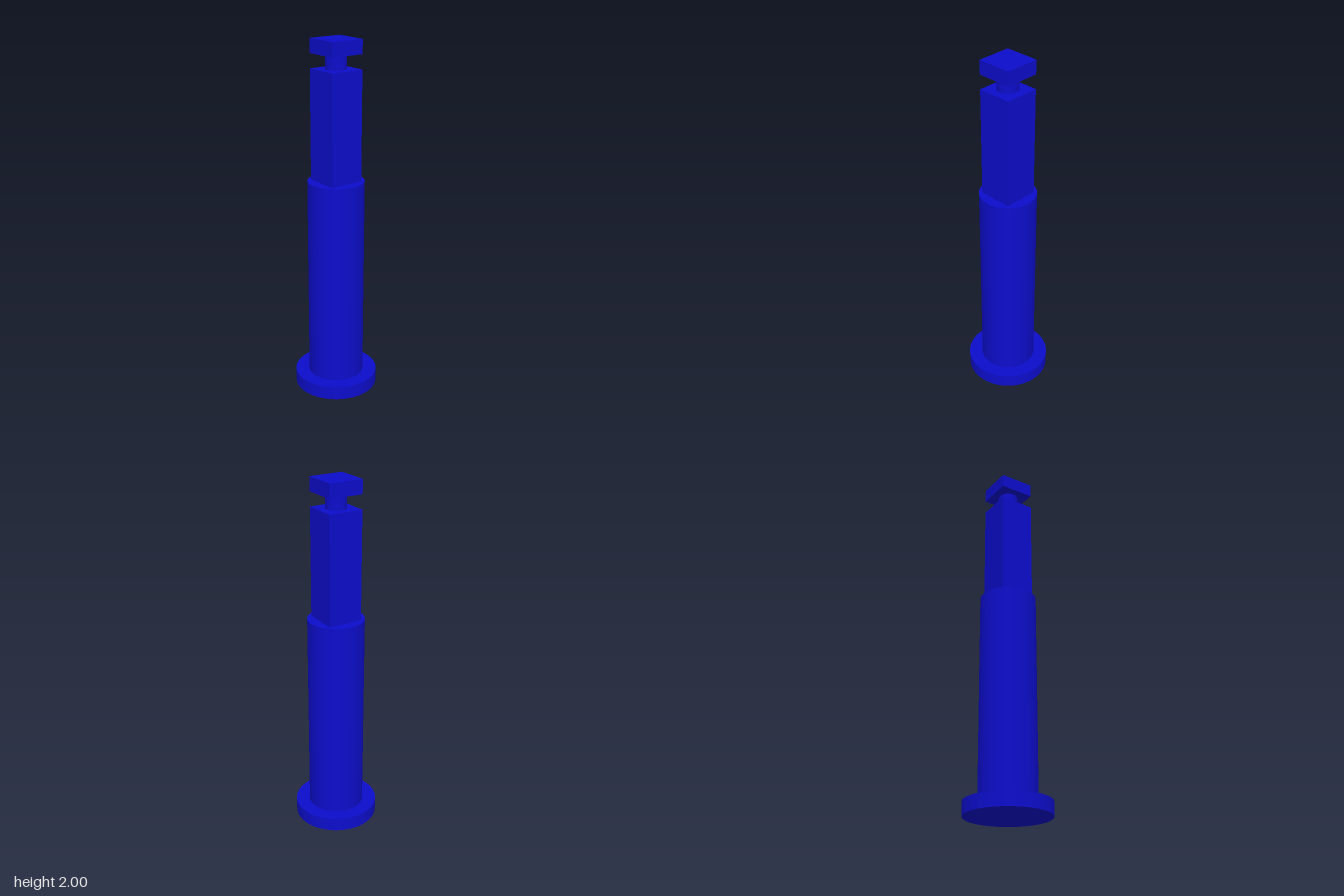
import * as THREE from 'three';

export function createModel() {
  const model = new THREE.Group();
  model.name = 'pin';
  const material = new THREE.MeshStandardMaterial({ color: 0x0d0dcc });

  const add = (name, geometry, bottom, top) => {
    const mesh = new THREE.Mesh(geometry, material);
    mesh.name = name;
    mesh.position.y = (bottom + top) / 2;
    model.add(mesh);
  };
  const round = (name, radius, bottom, top) =>
    add(name, new THREE.CylinderGeometry(radius, radius, top - bottom, 96), bottom, top);
  const square = (name, width, bottom, top) =>
    add(name, new THREE.BoxGeometry(width, top - bottom, width), bottom, top);

  // Round foot and shaft
  round('baseFlange', 0.235, 0, 0.078);
  round('shaft', 0.157, 0.078, 1.235);

  // Square upper post, with a round neck below the square head
  square('squarePost', 0.196, 1.235, 1.843);
  round('neck', 0.057, 1.843, 1.922);
  square('squareHead', 0.196, 1.922, 2);

  return model;
}
